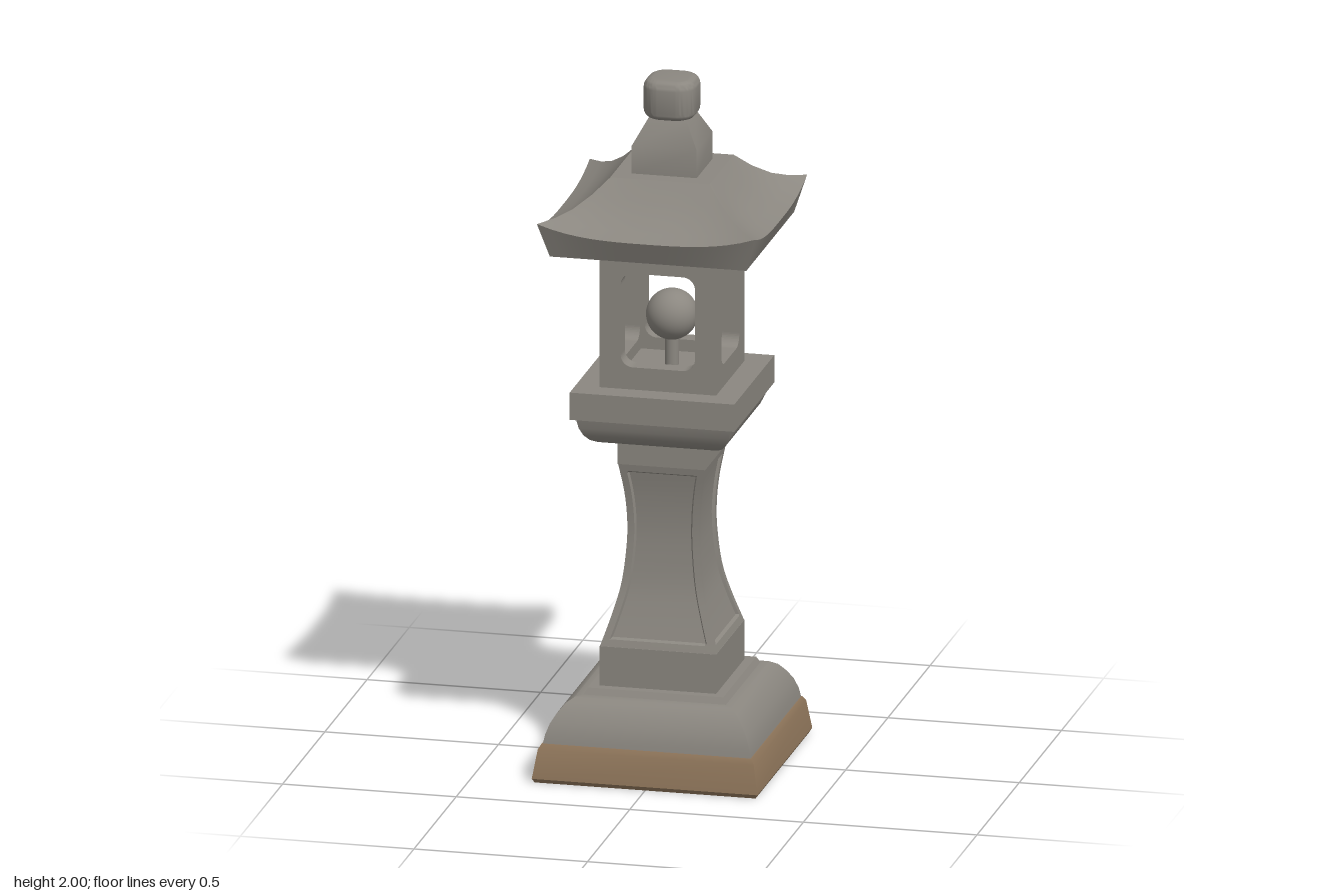
import * as THREE from 'three';
import { mergeGeometries, toCreasedNormals } from 'three/addons/utils/BufferGeometryUtils.js';

const stone = new THREE.MeshStandardMaterial({ color: 0x8b8780 });
stone.name = 'stone';
const earth = new THREE.MeshStandardMaterial({ color: 0x8e755a });
earth.name = 'earthStain';

// One front-facing grid of points, repeated around the four sides of a square plan
function fourSides(columns, rows, point, crease = 0.5) {
  const positions = [];
  const index = [];
  for (let j = 0; j <= rows; j++) {
    for (let i = 0; i <= columns; i++) positions.push(...point(i, j));
  }
  for (let j = 0; j < rows; j++) {
    for (let i = 0; i < columns; i++) {
      const a = j * (columns + 1) + i;
      const b = a + columns + 1;
      index.push(a, a + 1, b + 1, a, b + 1, b);
    }
  }
  const side = new THREE.BufferGeometry();
  side.setAttribute('position', new THREE.Float32BufferAttribute(positions, 3));
  side.setIndex(index);
  const sides = [0, 1, 2, 3].map((k) => side.clone().rotateY((k * Math.PI) / 2));
  return toCreasedNormals(mergeGeometries(sides), crease);
}

// Square moulding from a profile of [half width, height], bottom to top
function moulding(profile) {
  return fourSides(1, profile.length - 1, (i, j) => {
    const [w, y] = profile[j];
    return [i ? w : -w, y, w];
  });
}

function roundedRect(path, x0, y0, x1, y1, r) {
  path.moveTo(x0 + r, y0);
  path.lineTo(x1 - r, y0);
  path.absarc(x1 - r, y0 + r, r, -Math.PI / 2, 0);
  path.lineTo(x1, y1 - r);
  path.absarc(x1 - r, y1 - r, r, 0, Math.PI / 2);
  path.lineTo(x0 + r, y1);
  path.absarc(x0 + r, y1 - r, r, Math.PI / 2, Math.PI);
  path.lineTo(x0, y0 + r);
  path.absarc(x0 + r, y0 + r, r, Math.PI, Math.PI * 1.5);
  return path;
}

// Waisted shaft with a shallow sunken panel on each side
function shaftGeometry() {
  const bottom = 0.365, top = 0.89, rim = 0.02, bevel = 0.005, depth = 0.008;
  const curve = new THREE.SplineCurve([
    [0.167, bottom], [0.14, 0.45], [0.117, 0.54], [0.105, 0.65],
    [0.104, 0.73], [0.111, 0.81], [0.125, top],
  ].map(([w, y]) => new THREE.Vector2(w, y)));
  const samples = curve.getPoints(60);
  const widthAt = (y) => {
    const k = Math.max(1, samples.findIndex((p) => p.y >= y - 1e-6));
    const a = samples[k - 1], b = samples[k];
    return THREE.MathUtils.mapLinear(y, a.y, b.y, a.x, b.x);
  };
  const heights = [bottom, bottom + rim];
  const steps = 18;
  const low = bottom + rim + bevel, high = top - rim - bevel;
  for (let s = 0; s <= steps; s++) heights.push(low + ((high - low) * s) / steps);
  heights.push(top - rim, top);
  return fourSides(5, heights.length - 1, (i, j) => {
    const w = widthAt(heights[j]);
    const x = [-w, -w + rim, -w + rim + bevel, w - rim - bevel, w - rim, w][i];
    const sunken = j > 1 && j < heights.length - 2 && (i === 2 || i === 3);
    return [x, heights[j], sunken ? w - depth : w];
  });
}

// Concave hipped roof whose eaves rise towards the corners
function roofGeometry() {
  const slope = [[0.313, 1.6], [0.27, 1.618], [0.23, 1.643], [0.185, 1.685], [0.143, 1.735]];
  const rows = [[0, 1.535], [0.283, 1.535], ...slope, [0, 1.735]];
  const columns = 16;
  return fourSides(columns, rows.length - 1, (i, j) => {
    const [w, y] = rows[j];
    const u = (2 * i) / columns - 1;
    const lift = j < 2 ? 0 : Math.max(0, (w - 0.143) / 0.17);
    return [u * w, y + 0.037 * lift * Math.abs(u) ** 3, w];
  });
}

// Four pierced walls of the lamp chamber
function chamberGeometry() {
  const wall = roundedRect(new THREE.Shape(), -0.168, 1.12, 0.168, 1.54, 0.0001);
  wall.holes.push(roundedRect(new THREE.Path(), -0.107, 1.19, 0.107, 1.465, 0.035));
  const side = new THREE.ExtrudeGeometry(wall, { depth: 0.05, bevelEnabled: false, curveSegments: 6 });
  side.translate(0, 0, 0.118);
  return mergeGeometries([0, 1, 2, 3].map((k) => side.clone().rotateY((k * Math.PI) / 2)));
}

// Softly squared top knob
function knobGeometry() {
  const plan = roundedRect(new THREE.Shape(), -0.05, -0.05, 0.05, 0.05, 0.03);
  const knob = new THREE.ExtrudeGeometry(plan, {
    depth: 0.065, bevelSize: 0.025, bevelThickness: 0.025, bevelSegments: 5, curveSegments: 8,
  });
  knob.rotateX(-Math.PI / 2).translate(0, 1.91, 0);
  return toCreasedNormals(knob, 0.7);
}

export function createModel() {
  const lantern = new THREE.Group();
  lantern.name = 'stoneLantern';
  const add = (name, geometry, material = stone) => {
    const mesh = new THREE.Mesh(geometry, material);
    mesh.name = name;
    lantern.add(mesh);
    return mesh;
  };

  // Foot and pedestal
  add('stainedFoot', moulding([
    [0, 0], [0.318, 0], [0.325, 0.012], [0.311, 0.095], [0.302, 0.11], [0, 0.11],
  ]), earth);
  add('pedestal', moulding([
    [0.299, 0.11], [0.294, 0.135], [0.283, 0.165], [0.266, 0.193], [0.246, 0.217],
    [0.225, 0.23], [0.205, 0.232], [0.195, 0.25], [0, 0.25],
  ]));

  // Column
  add('columnBase', moulding([[0.168, 0.25], [0.168, 0.365], [0, 0.365]]));
  add('columnShaft', shaftGeometry());
  add('columnCap', moulding([[0, 0.89], [0.126, 0.89], [0.126, 0.966]]));

  // Platform carrying the lamp chamber
  add('platformBowl', moulding([
    [0, 0.965], [0.172, 0.965], [0.19, 0.975], [0.205, 0.992], [0.216, 1.015], [0.223, 1.045],
  ]));
  add('platformSlab', moulding([[0, 1.045], [0.237, 1.045], [0.237, 1.125], [0, 1.125]]));

  // Lamp chamber with its round lamp
  add('lampChamber', chamberGeometry());
  add('chamberFloor', new THREE.BoxGeometry(0.24, 0.03, 0.24)).position.y = 1.14;
  add('lampStem', new THREE.CylinderGeometry(0.02, 0.02, 0.12, 16)).position.y = 1.2;
  add('lampGlobe', new THREE.SphereGeometry(0.073, 32, 20)).position.y = 1.302;

  // Roof and finial
  add('roof', roofGeometry());
  add('finialBase', moulding([[0.094, 1.735], [0.094, 1.815], [0.054, 1.89], [0, 1.89]]));
  add('finialKnob', knobGeometry());

  return lantern;
}
